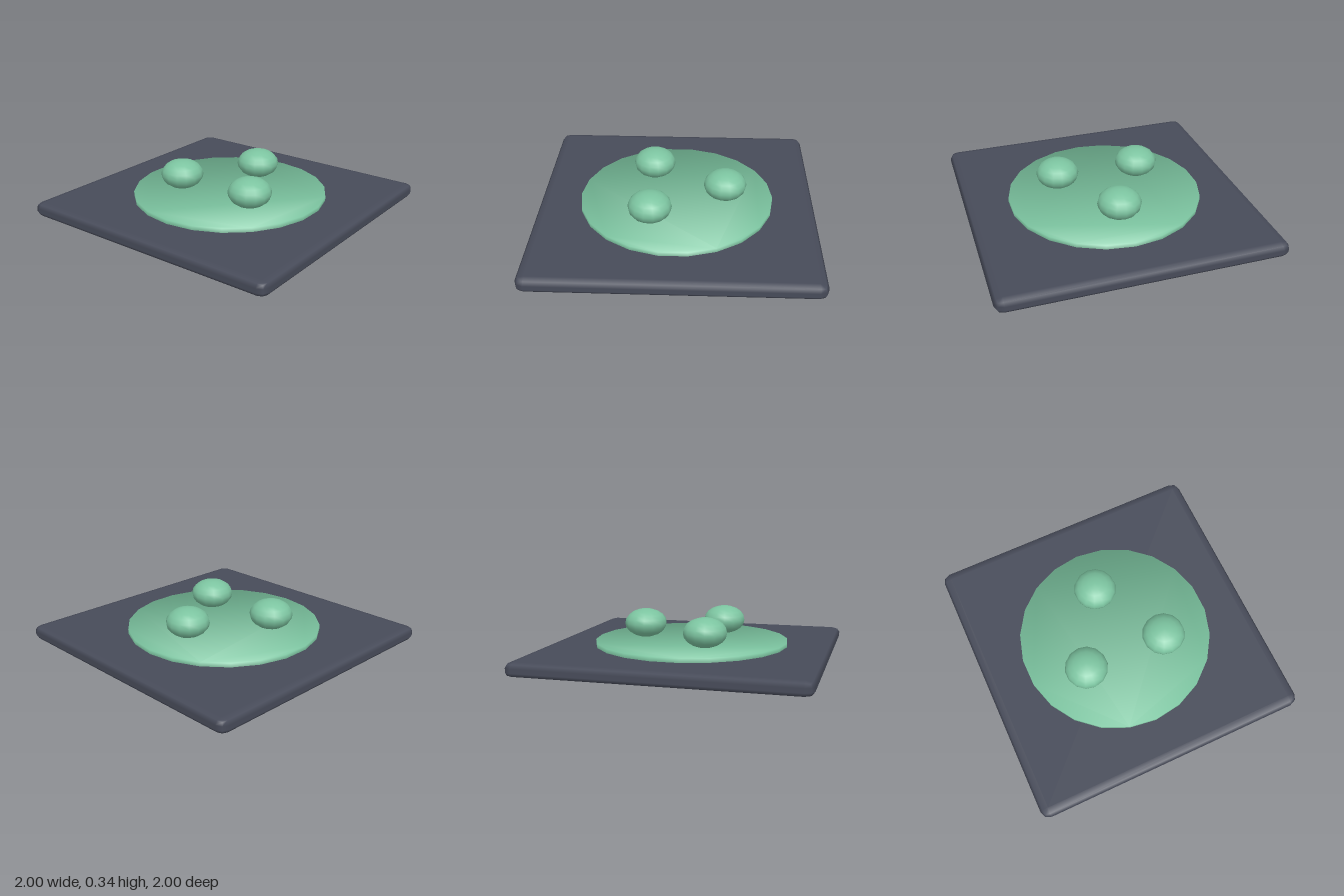
import * as THREE from 'three';
import { RoundedBoxGeometry } from 'three/addons/geometries/RoundedBoxGeometry.js';

const slate = new THREE.MeshStandardMaterial({ color: 0x474b59 });
const green = new THREE.MeshStandardMaterial({ color: 0x7cc4a0 });

function addPart(group, name, geometry, material) {
  const mesh = new THREE.Mesh(geometry, material);
  mesh.name = name;
  group.add(mesh);
  return mesh;
}

// Thin faceted disc whose normals fan outwards, so it shades softly like a cushion
function softDisc(radius, height, sides) {
  const points = [];
  for (let i = 0; i < sides; i++) {
    const a = (i / sides) * Math.PI * 2;
    points.push(new THREE.Vector2(-Math.sin(a) * radius, Math.cos(a) * radius));
  }
  const geometry = new THREE.ExtrudeGeometry(new THREE.Shape(points), { depth: height, bevelEnabled: false });
  geometry.rotateX(-Math.PI / 2);
  const { position, normal } = geometry.attributes;
  const n = new THREE.Vector3();
  for (let i = 0; i < position.count; i++) {
    const up = position.getY(i) > height / 2 ? 1 : -1;
    n.set(position.getX(i) / radius, up, position.getZ(i) / radius).normalize();
    normal.setXYZ(i, n.x, n.y, n.z);
  }
  return geometry;
}

export function createModel() {
  const model = new THREE.Group();
  model.name = 'platePad';

  // Square slab with a flattened bevel
  const slab = new RoundedBoxGeometry(2, 0.17, 2, 1, 0.06);
  slab.scale(1, 0.1 / 0.17, 1);
  addPart(model, 'baseSlab', slab, slate).position.y = 0.05;

  // Round plate set into the slab
  addPart(model, 'disc', softDisc(0.7, 0.06, 22), green).position.y = 0.07;

  // Three squashed balls spaced evenly, one at the back
  const ball = new THREE.SphereGeometry(0.155, 14, 10);
  ball.rotateY(Math.PI / 2);
  ball.scale(1, 0.105 / 0.155, 1);
  ['backBall', 'leftBall', 'rightBall'].forEach((name, i) => {
    const a = (i / 3) * Math.PI * 2;
    addPart(model, name, ball, green).position.set(Math.sin(a) * 0.352, 0.235, -Math.cos(a) * 0.352);
  });

  return model;
}
